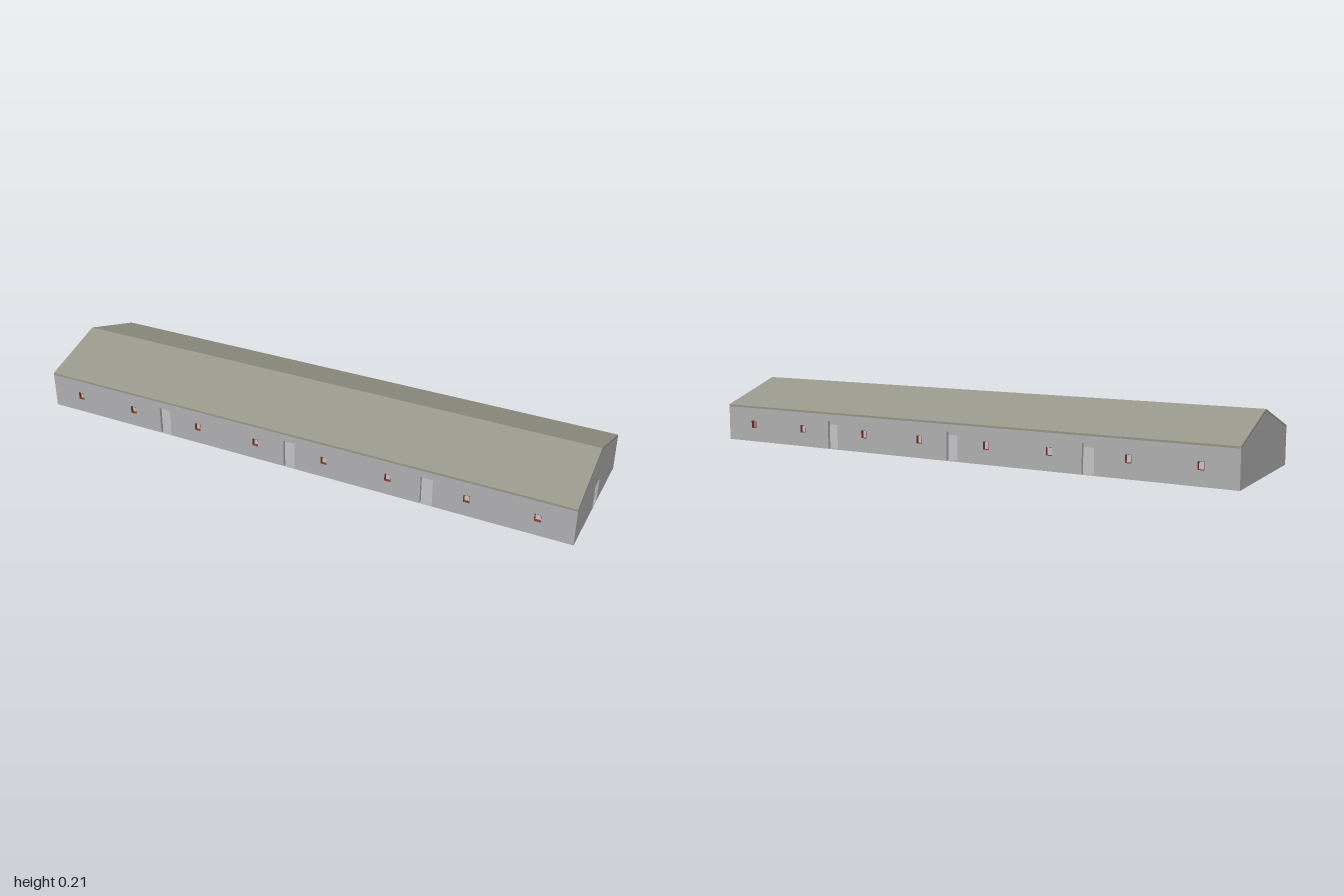
import * as THREE from 'three';

const L = 1.956, W = 0.49, T = 0.011;      // length, width, wall thickness
const EAVE = 0.124, RIDGE = 0.205, ROOF = 0.007;

const mat = (name, color) => {
  const m = new THREE.MeshStandardMaterial({ color });
  m.name = name;
  return m;
};

const rect = (C, x, y, w, h) => {
  const p = new C();
  p.moveTo(x - w / 2, y);
  p.lineTo(x + w / 2, y);
  p.lineTo(x + w / 2, y + h);
  p.lineTo(x - w / 2, y + h);
  p.closePath();
  return p;
};

const polygon = (pts) => new THREE.Shape(pts.map(([x, y]) => new THREE.Vector2(x, y)));
const extrude = (shape, depth) => new THREE.ExtrudeGeometry(shape, { depth, bevelEnabled: false });

export function createModel() {
  const wallMat = mat('wall grey', 0xb2b2b4);
  const roofMat = mat('roof olive', 0x97978a);
  const frameMat = mat('window frame red', 0x8a3a2c);

  const model = new THREE.Group();
  model.name = 'longBarn';
  const barn = new THREE.Group();
  barn.name = 'building';
  barn.rotation.y = 0.377;                 // stands diagonally on its plot
  model.add(barn);

  const add = (parent, name, geo, material) => {
    const m = new THREE.Mesh(geo, material);
    m.name = name;
    parent.add(m);
    return m;
  };

  // Long walls with open doorways and framed window openings
  const doors = [-0.495, 0, 0.495];
  const windows = [-0.86, -0.63, -0.36, -0.13, 0.13, 0.36, 0.63, 0.86];
  const winW = 0.022, winH = 0.027, sill = 0.05, rim = 0.001;
  for (const [name, turn] of [['front', 0], ['back', Math.PI]]) {
    const side = new THREE.Group();
    side.name = name + 'Side';
    side.rotation.y = turn;
    barn.add(side);

    const shape = polygon([[-L / 2 + T, 0], [L / 2 - T, 0], [L / 2 - T, EAVE], [-L / 2 + T, EAVE]]);
    // doorways cut up from the ground, leaving a hair-thin threshold
    for (const x of doors) shape.holes.push(rect(THREE.Path, x, 0.001, 0.042, 0.099));
    for (const x of windows) shape.holes.push(rect(THREE.Path, x, sill, winW, winH));
    add(side, name + 'Wall', extrude(shape, T), wallMat).position.z = W / 2 - T;

    for (const x of windows) {
      const frame = rect(THREE.Shape, 0, 0, winW, winH);
      frame.holes.push(rect(THREE.Path, 0, rim, winW - 2 * rim, winH - 2 * rim));
      add(side, 'windowFrame', extrude(frame, T), frameMat).position.set(x, sill, W / 2 - T);
    }
  }

  // Gable walls; only the +x end has a doorway
  for (const s of [1, -1]) {
    const gable = polygon([[-W / 2, 0], [W / 2, 0], [W / 2, EAVE], [0, RIDGE], [-W / 2, EAVE]]);
    if (s > 0) gable.holes.push(rect(THREE.Path, 0, 0.001, 0.054, 0.084));
    const m = add(barn, s > 0 ? 'leftGableWall' : 'rightGableWall', extrude(gable, T), wallMat);
    m.rotation.y = s * Math.PI / 2;
    m.position.x = s * (L / 2 - T);
  }

  // Thin pitched roof
  const roof = polygon([
    [-W / 2, EAVE], [0, RIDGE], [W / 2, EAVE],
    [W / 2, EAVE + ROOF], [0, RIDGE + ROOF], [-W / 2, EAVE + ROOF],
  ]);
  const r = add(barn, 'roof', extrude(roof, L), roofMat);
  r.rotation.y = Math.PI / 2;
  r.position.x = -L / 2;

  // Floor slab between the walls
  const floor = add(barn, 'floor', new THREE.BoxGeometry(L - 2 * T, 0.002, W - 2 * T), wallMat);
  floor.position.y = 0.001;

  return model;
}
